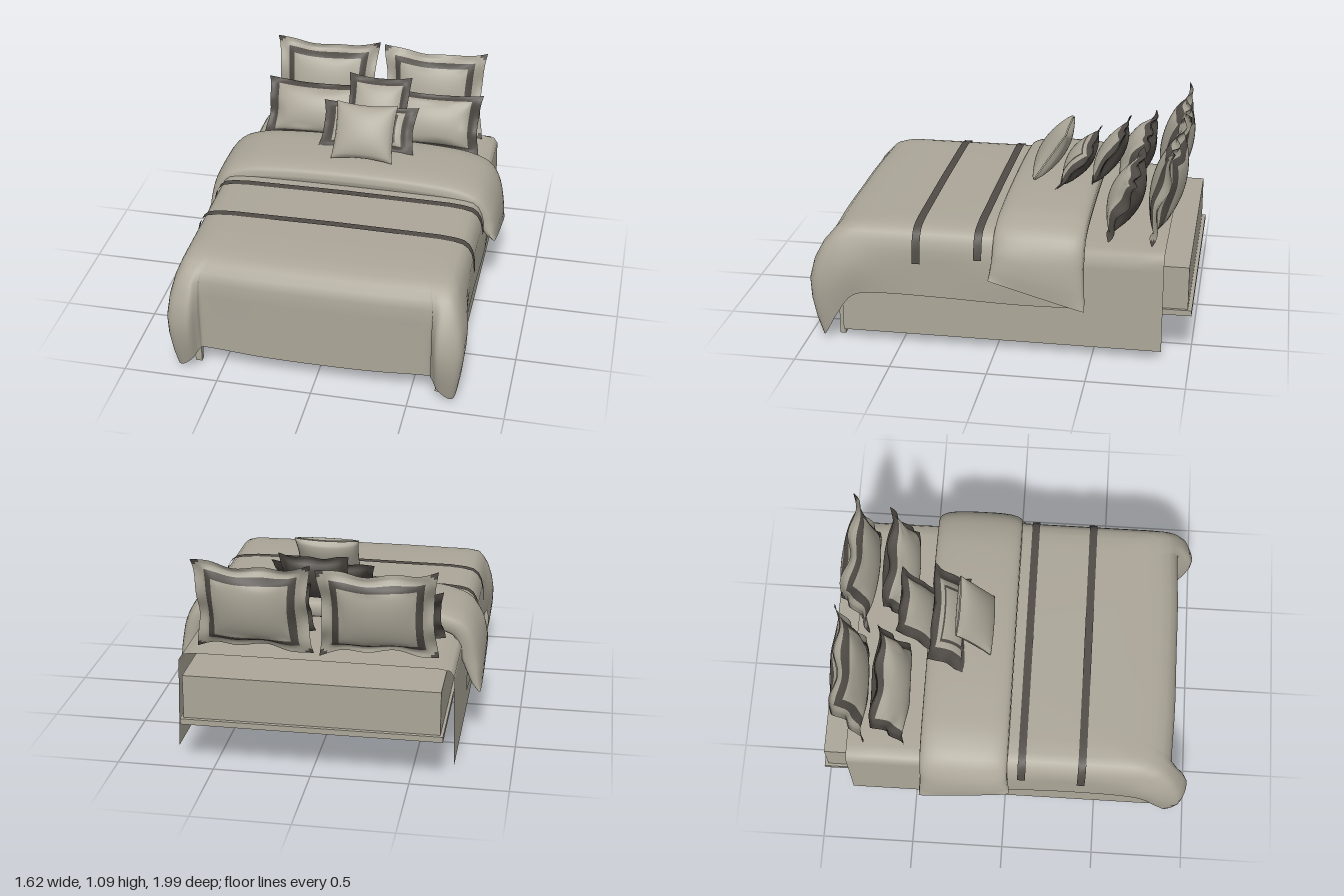
import * as THREE from 'three';

const linen = new THREE.MeshStandardMaterial({ color: 0xaba698, side: THREE.DoubleSide });
linen.name = 'linen';
const charcoal = new THREE.MeshStandardMaterial({ color: 0x504b46, side: THREE.DoubleSide });
charcoal.name = 'charcoal';
const L = 0, D = 1;

// Grid surface: at(u, v) gives a point; colour(u, v) picks a material index per cell
function surface(nu, nv, at, colour = () => L) {
  const pos = [], cells = [[], []];
  for (let j = 0; j <= nv; j++) for (let i = 0; i <= nu; i++) pos.push(...at(i / nu, j / nv));
  for (let j = 0; j < nv; j++) for (let i = 0; i < nu; i++) {
    const a = j * (nu + 1) + i, b = a + nu + 1;
    cells[colour((i + 0.5) / nu, (j + 0.5) / nv)].push(a, a + 1, b + 1, a, b + 1, b);
  }
  const g = new THREE.BufferGeometry();
  g.setAttribute('position', new THREE.Float32BufferAttribute(pos, 3));
  g.setIndex([...cells[0], ...cells[1]]);
  g.addGroup(0, cells[0].length, 0);
  g.addGroup(cells[0].length, cells[1].length, 1);
  g.computeVertexNormals();
  return g;
}

function add(parent, name, geometry, material, x = 0, y = 0, z = 0) {
  const m = new THREE.Mesh(geometry, material);
  m.name = name;
  m.position.set(x, y, z);
  parent.add(m);
  return m;
}

// Straight-line lookup in a list of [key, ...values]
function lookup(rows, k) {
  let i = 0;
  while (i < rows.length - 2 && k > rows[i + 1][0]) i++;
  const a = rows[i], b = rows[i + 1], t = (k - a[0]) / (b[0] - a[0]);
  return a.slice(1).map((v, n) => v + (b[n + 1] - v) * t);
}

// Pillow with a flat flange, pinched sides and flared corners; bands run [limit, colour] from the middle out
function pillow(parent, name, { w, h, t, x, y, z, tilt, front, back, flange = 0.83, flare = 0.07, wave = 0.012, turn = 0 }) {
  const group = new THREE.Group();
  group.name = name;
  for (const side of [1, -1]) {
    const bands = side > 0 ? front : back;
    const at = (a, b) => {
      const u = a * 2 - 1, v = b * 2 - 1;
      const p = Math.max(0, 1 - (u / flange) ** 2), q = Math.max(0, 1 - (v / flange) ** 2);
      const rim = Math.max(0, (Math.max(Math.abs(u), Math.abs(v)) - 0.6) / 0.4);
      return [
        u * w / 2 * (1 - flare * (1 - v * v)),
        v * h / 2 * (1 - flare * 1.6 * (1 - u * u)),
        side * (0.002 + t / 2 * (p * q) ** 0.45) + wave * rim * (Math.sin(u * 7 + x * 9) + Math.cos(v * 6 + x * 5)),
      ];
    };
    const colour = (a, b) => {
      const u = Math.abs(a * 2 - 1), v = Math.abs(b * 2 - 1);
      if (bands.tips && u + v > 1.82) return D;
      return bands.find(([limit]) => Math.max(u, v) < limit)[1];
    };
    add(group, side > 0 ? 'pillowFront' : 'pillowBack', surface(32, 32, at, colour), [linen, charcoal]);
  }
  group.position.set(x, y, z);
  group.rotation.set(-tilt, turn, 0);
  parent.add(group);
}

export function createModel() {
  const bed = new THREE.Group();
  bed.name = 'bed';

  // Frame, legs and mattress
  add(bed, 'frame', new THREE.BoxGeometry(1.33, 0.03, 1.85), linen, 0, 0.255, -0.075);
  add(bed, 'mattress', new THREE.BoxGeometry(1.3, 0.23, 1.82), linen, 0, 0.385, -0.07);
  for (const s of [1, -1])
    add(bed, 'frontLeg', new THREE.BoxGeometry(0.035, 0.25, 0.03), linen, s * 0.64, 0.125, 0.835);

  // Fitted sheet hanging down both sides
  const drop = [[0, 0, 0.572], [0.35, 0.62, 0.57], [0.4, 0.68, 0.562], [0.45, 0.7, 0.53], [1, 0.712, 0.05]];
  add(bed, 'sheet', surface(40, 12, (u, v) => {
    const s = u * 2 - 1, [x, y] = lookup(drop, Math.abs(s));
    return [Math.sign(s) * x, y, -0.855 + v * 1.67];
  }), linen);

  // Duvet outline: x, z, hem height, flare x, flare z (one half, then mirrored)
  const half = [
    [0.73, -0.44, 0.27, 0, 0], [0.735, -0.1, 0.27, 0.01, 0], [0.735, 0.3, 0.28, 0, 0],
    [0.735, 0.6, 0.285, 0.01, 0], [0.735, 0.75, 0.265, 0.03, 0], [0.73, 0.83, 0.15, 0.045, 0.02],
    [0.705, 0.875, 0.02, 0.05, 0.085], [0.65, 0.89, 0.07, 0, 0.1], [0.61, 0.89, 0.125, 0, 0.04],
    [0.57, 0.89, 0.125, 0, 0], [0.3, 0.9, 0.115, 0, 0], [0, 0.9, 0.11, 0, 0],
  ];
  const outline = [...half, ...half.slice(0, -1).reverse().map(([x, z, y, fx, fz]) => [-x, z, y, -fx, fz])];
  const plan = new THREE.CatmullRomCurve3(outline.map(([x, z, y]) => new THREE.Vector3(x, y, z)), false, 'catmullrom');
  const spread = new THREE.CatmullRomCurve3(outline.map((o) => new THREE.Vector3(o[3], 0, o[4])), false, 'catmullrom');
  // Rings from the middle of the top to the hem: scale, drop as part of the skirt, flare
  const crown = [[0, 0.66], [0.75, 0.655], [0.86, 0.648], [0.92, 0.638], [0.96, 0.615], [0.985, 0.58], [1, 0.53]];
  const rings = [...crown.map(([s, y], i) => [s, y, 0, i === 6 ? 0.25 : 0]),
    [1, 0.53, 0.2, 0.75], [1, 0.53, 0.4, 1], [1, 0.53, 0.6, 0.95], [1, 0.53, 0.8, 0.75], [1, 0.53, 1, 0.45]];
  add(bed, 'duvet', surface(110, rings.length - 1, (u, v) => {
    const [s, y, fall, f] = rings[Math.round(v * (rings.length - 1))];
    const p = plan.getPoint(u), o = spread.getPoint(u);
    return [p.x * s + o.x * f, y + (p.y - y) * fall, -0.44 + (p.z + 0.44) * s + o.z * f];
  }), linen);

  // Dark stripes across the duvet
  for (const [z, low] of [[0.09, 0.5], [0.41, 0.46]]) {
    const path = [...crown.map(([s, y]) => [s, y]), [1.005, low]];
    const n = path.length - 1;
    add(bed, 'duvetStripe', surface(n * 2, 1, (u, v) => {
      const i = Math.round(u * n * 2) - n, [s, y] = path[Math.abs(i)];
      return [Math.sign(i) * (s * 0.735 + 0.008 * s), y + 0.005, z + (v - 0.5) * 0.042];
    }), charcoal);
  }

  // Folded-back top of the duvet: a soft flat roll swept across the bed
  const sweep = new THREE.CatmullRomCurve3(
    [[-0.81, 0.36], [-0.81, 0.45], [-0.785, 0.57], [-0.72, 0.665], [-0.6, 0.715], [-0.4, 0.738], [0, 0.748],
      [0.4, 0.738], [0.6, 0.715], [0.72, 0.665], [0.785, 0.57], [0.81, 0.45], [0.81, 0.36]]
      .map(([x, y]) => new THREE.Vector3(x, y, 0)));
  const soft = (c, e) => Math.sign(c) * Math.abs(c) ** e;
  add(bed, 'foldedDuvet', surface(72, 32, (u, v) => {
    const p = sweep.getPointAt(u), d = sweep.getTangentAt(u), a = v * Math.PI * 2;
    const ends = Math.min(1, Math.min(u, 1 - u) * 14);
    const thick = 0.065 * (0.15 + 0.85 * Math.sqrt(ends));
    const off = thick * (soft(Math.sin(a), 0.6) - 1);
    const z = -0.22 + (0.235 + 0.012 * (1 - ends)) * soft(Math.cos(a), 0.7);
    const sag = Math.max(0, (0.6 - p.y) / 0.24);
    return [p.x - d.y * off, p.y + d.x * off + sag * (0.05 + (z + 0.02) * 0.28), z];
  }), linen);

  // Back row: large shams with a dark inset band
  const sham = [[0.7, L], [0.83, D], [1.1, L]];
  sham.tips = true;
  // Middle row: light fronts, dark flanges and backs
  const light = [[0.8, L], [1.1, D]], dark = [[1.1, D]];
  for (const s of [1, -1]) {
    pillow(bed, 'backSham', { w: 0.6, h: 0.51, t: 0.17, x: s * 0.315, y: 0.835, z: -0.84, tilt: 0.22,
      front: sham, back: sham, flare: 0.08, wave: 0.016, turn: s * -0.04 });
    pillow(bed, 'middlePillow', { w: 0.58, h: 0.34, t: 0.17, x: s * 0.335, y: 0.76, z: -0.625, tilt: 0.45,
      front: light, back: dark, flange: 0.86, wave: 0.014 });
  }

  // Centre stack: square cushion, dark lumbar cushion, small light cushion
  pillow(bed, 'squareCushion', { w: 0.36, h: 0.36, t: 0.12, x: 0.05, y: 0.88, z: -0.51, tilt: 0.55,
    front: [[0.75, L], [1.1, D]], back: dark, wave: 0.006 });
  pillow(bed, 'lumbarCushion', { w: 0.54, h: 0.27, t: 0.12, x: 0.03, y: 0.835, z: -0.345, tilt: 0.75,
    front: [[0.56, L], [0.65, D], [0.78, L], [1.1, D]], back: dark, wave: 0.006 });
  pillow(bed, 'frontCushion', { w: 0.34, h: 0.32, t: 0.13, x: 0.035, y: 0.885, z: -0.2, tilt: 0.58,
    front: [[1.1, L]], back: [[1.1, L]], flange: 1, flare: 0.06, wave: 0 });

  return bed;
}
